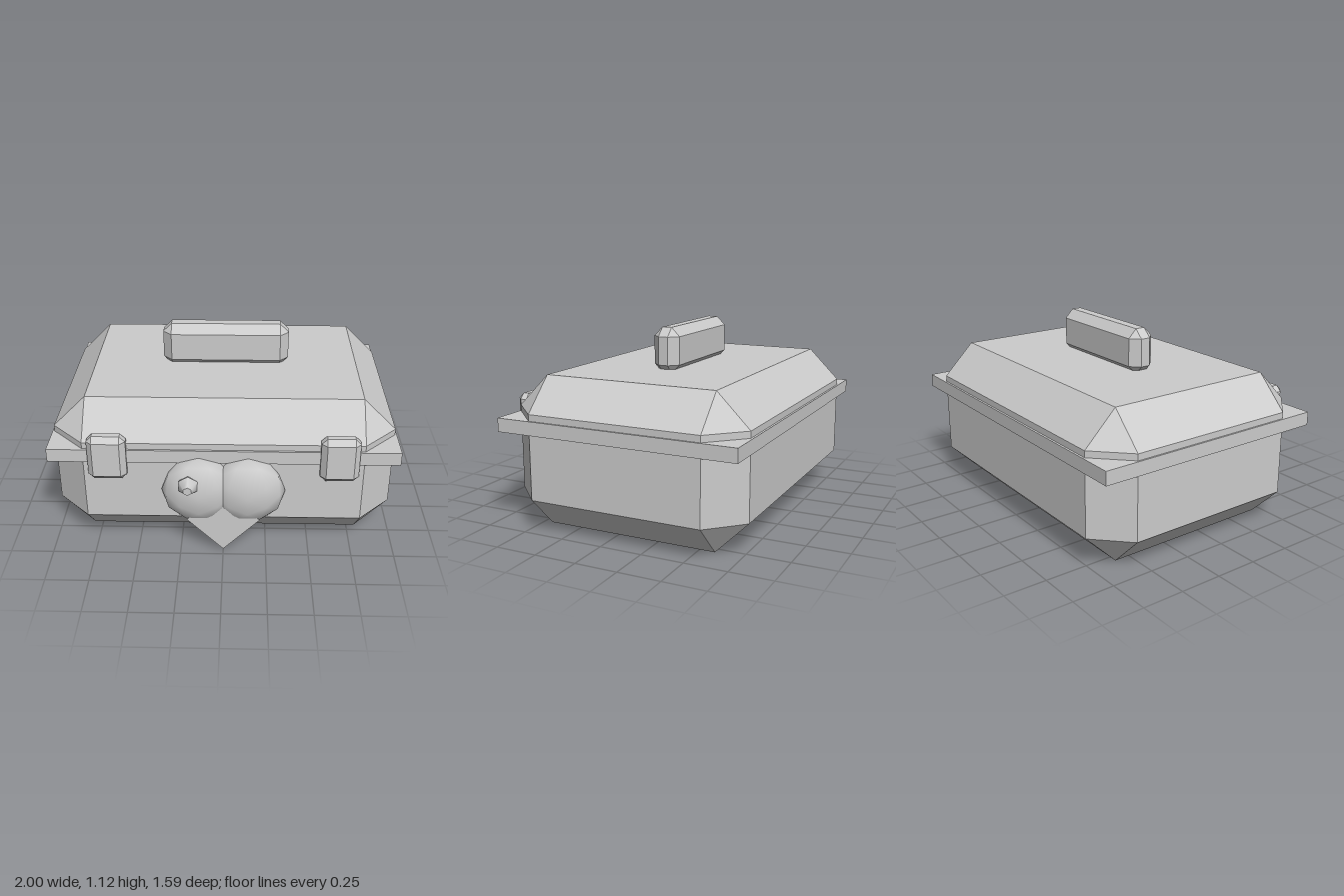
import * as THREE from 'three';
import { ConvexGeometry } from 'three/addons/geometries/ConvexGeometry.js';

const grey = new THREE.MeshStandardMaterial({ color: 0xcccccc });
grey.name = 'plain grey';

// Box with every edge and corner cut at 45 degrees
function chamferedBox(w, h, d, c) {
  const points = [];
  for (const sx of [-1, 1]) for (const sy of [-1, 1]) for (const sz of [-1, 1]) {
    const x = w / 2, y = h / 2, z = d / 2;
    points.push(
      new THREE.Vector3(sx * x, sy * (y - c), sz * (z - c)),
      new THREE.Vector3(sx * (x - c), sy * y, sz * (z - c)),
      new THREE.Vector3(sx * (x - c), sy * (y - c), sz * z));
  }
  return new ConvexGeometry(points);
}

export function createModel() {
  const model = new THREE.Group();
  model.name = 'lunchBox';

  function add(name, geometry, x, y, z) {
    const mesh = new THREE.Mesh(geometry, grey);
    mesh.name = name;
    mesh.position.set(x, y, z);
    model.add(mesh);
    return mesh;
  }

  // Case, rim and carrying handle
  add('case', chamferedBox(1.98, 0.88, 1.425, 0.192), 0, 0.44, -0.07);
  add('rim', new THREE.BoxGeometry(2, 0.08, 1.45), 0, 0.61, -0.07);
  add('handle', chamferedBox(0.765, 0.27, 0.163, 0.052), 0, 0.99, -0.07);

  // Mirrored latches and bulging eyes
  const eyeGeometry = new THREE.IcosahedronGeometry(1, 1).scale(0.216, 0.216, 0.107);
  for (const [side, s] of [['left', 1], ['right', -1]]) {
    add(side + 'Latch', chamferedBox(0.22, 0.275, 0.1, 0.032), s * 0.657, 0.607, 0.648);
    add(side + 'Eye', eyeGeometry, s * 0.14, 0.39, 0.65);
  }

  // Six-sided pupil on the right eye
  const pupil = add('pupil', new THREE.CylinderGeometry(0.026, 0.062, 0.055, 6), -0.197, 0.472, 0.77);
  pupil.geometry.rotateX(Math.PI / 2);
  const pupilBase = add('pupilBase', new THREE.CylinderGeometry(0.062, 0.045, 0.04, 6), -0.197, 0.472, 0.7225);
  pupilBase.geometry.rotateX(Math.PI / 2);

  // Beak: a square block turned on its corner
  const beak = add('beak', new THREE.BoxGeometry(0.297, 0.297, 0.11), 0, 0.22, 0.659);
  beak.rotation.z = Math.PI / 4;

  return model;
}
